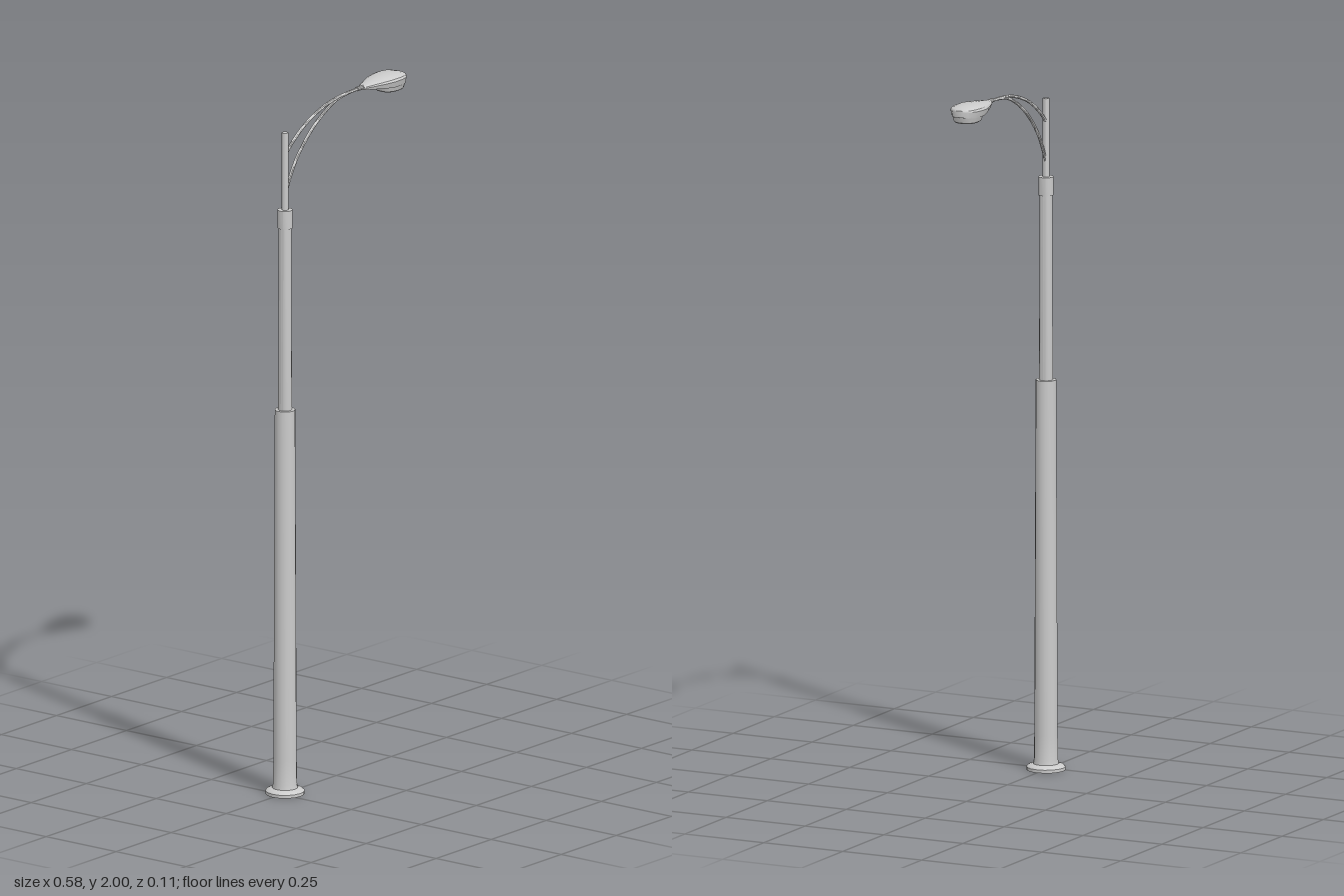
import * as THREE from 'three';
import { toCreasedNormals } from 'three/addons/utils/BufferGeometryUtils.js';

const material = new THREE.MeshStandardMaterial({ color: 0xcccccc });
const POLE_X = -0.233;
const HEAD_Z = 0.002;

function part(name, geometry, crease = 0.6) {
  const mesh = new THREE.Mesh(toCreasedNormals(geometry, crease), material);
  mesh.name = name;
  return mesh;
}

// Turned part from [radius, y] pairs, bottom to top
function turned(name, profile, sides = 16) {
  const points = profile.map(([r, y]) => new THREE.Vector2(r, y));
  const mesh = part(name, new THREE.LatheGeometry(points, sides));
  mesh.position.x = POLE_X;
  return mesh;
}

// Curved round arm through [x, y] points, drifting slightly in z
function arm(name, path) {
  const points = path.map(([x, y], i) => new THREE.Vector3(x, y, -0.001 + (0.003 * i) / (path.length - 1)));
  return part(name, new THREE.TubeGeometry(new THREE.CatmullRomCurve3(points), 20, 0.0046, 8), 1);
}

// Closed skin over equal-length rings of points, capped at both ends
function loft(rings) {
  const n = rings[0].length;
  const positions = rings.flat(2);
  const index = [];
  for (let r = 0; r < rings.length - 1; r++) {
    for (let i = 0; i < n; i++) {
      const a = r * n + i, b = r * n + ((i + 1) % n);
      index.push(a, b, a + n, b, b + n, a + n);
    }
  }
  const last = (rings.length - 1) * n;
  for (let i = 1; i < n - 1; i++) {
    index.push(0, i + 1, i, last, last + i, last + i + 1);
  }
  const geometry = new THREE.BufferGeometry();
  geometry.setAttribute('position', new THREE.Float32BufferAttribute(positions, 3));
  geometry.setIndex(index);
  return geometry;
}

// Lamp housing from tip to neck: stations of [x, half width, bottom, rim, top]
function housing() {
  const stations = [
    [0.288, 0.012, 1.971, 1.986, 1.991],
    [0.281, 0.027, 1.969, 1.987, 1.995],
    [0.263, 0.042, 1.968, 1.987, 1.999],
    [0.238, 0.0475, 1.968, 1.987, 2.000],
    [0.212, 0.046, 1.968, 1.986, 2.000],
    [0.185, 0.040, 1.970, 1.985, 1.998],
    [0.135, 0.022, 1.975, 1.983, 1.992],
    [0.112, 0.012, 1.977, 1.982, 1.988],
  ];
  return loft(stations.map(([x, w, bottom, rim, top]) => {
    const side = rim + (top - rim) * 0.45;
    const shoulder = rim + (top - rim) * 0.85;
    // Going round from +z over the top to -z and back underneath
    return [
      [w, rim], [w * 0.92, side], [w * 0.65, shoulder], [0, top],
      [-w * 0.65, shoulder], [-w * 0.92, side], [-w, rim],
      [-w * 0.88, bottom], [w * 0.88, bottom],
    ].map(([z, y]) => [x, y, z]);
  }));
}

// Light bowl: rounded outline stacked in height, narrowing downwards
function bowl() {
  const sides = 16;
  const levels = [[1.951, 0.038, 0.031], [1.954, 0.042, 0.035], [1.972, 0.046, 0.041]];
  return loft(levels.map(([y, rx, rz]) =>
    Array.from({ length: sides }, (_, i) => {
      const a = (-i / sides) * Math.PI * 2;
      const c = Math.cos(a), s = Math.sin(a);
      return [0.238 + rx * Math.sign(c) * Math.abs(c) ** 0.8, y, rz * Math.sign(s) * Math.abs(s) ** 0.8];
    })));
}

export function createModel() {
  const model = new THREE.Group();
  model.name = 'streetLamp';

  // Stepped pole
  model.add(turned('baseFlange', [[0, 0], [0.0555, 0], [0.0555, 0.009], [0.05, 0.014], [0.037, 0.018], [0, 0.018]]));
  model.add(turned('lowerPole', [
    [0, 0.015], [0.037, 0.015], [0.034, 0.03], [0.033, 0.1], [0.029, 1.12], [0, 1.12],
  ]));
  model.add(turned('upperPole', [[0, 1.11], [0.0195, 1.11], [0.018, 1.66], [0, 1.66]]));
  model.add(turned('collar', [[0, 1.65], [0.0215, 1.65], [0.0215, 1.703], [0, 1.703]]));
  model.add(turned('topPost', [[0, 1.69], [0.0095, 1.69], [0.0095, 1.928], [0, 1.928]], 12));

  // Pair of arms meeting at the lamp head
  model.add(arm('upperArm', [[-0.233, 1.86], [-0.195, 1.895], [-0.14, 1.932], [-0.08, 1.958], [-0.02, 1.974], [0.045, 1.981], [0.114, 1.983]]));
  model.add(arm('lowerArm', [[-0.233, 1.735], [-0.215, 1.782], [-0.177, 1.845], [-0.098, 1.921], [-0.01, 1.969], [0.045, 1.98], [0.114, 1.983]]));

  // Lamp head
  const head = new THREE.Group();
  head.name = 'lampHead';
  head.position.z = HEAD_Z;
  const sleeve = part('sleeve', new THREE.CylinderGeometry(0.0065, 0.0065, 0.028, 10), 0.8);
  sleeve.rotation.z = Math.PI / 2;
  sleeve.position.set(0.104, 1.983, 0);
  head.add(sleeve, part('housing', housing(), 0.5), part('lightBowl', bowl(), 0.5));
  model.add(head);

  return model;
}
